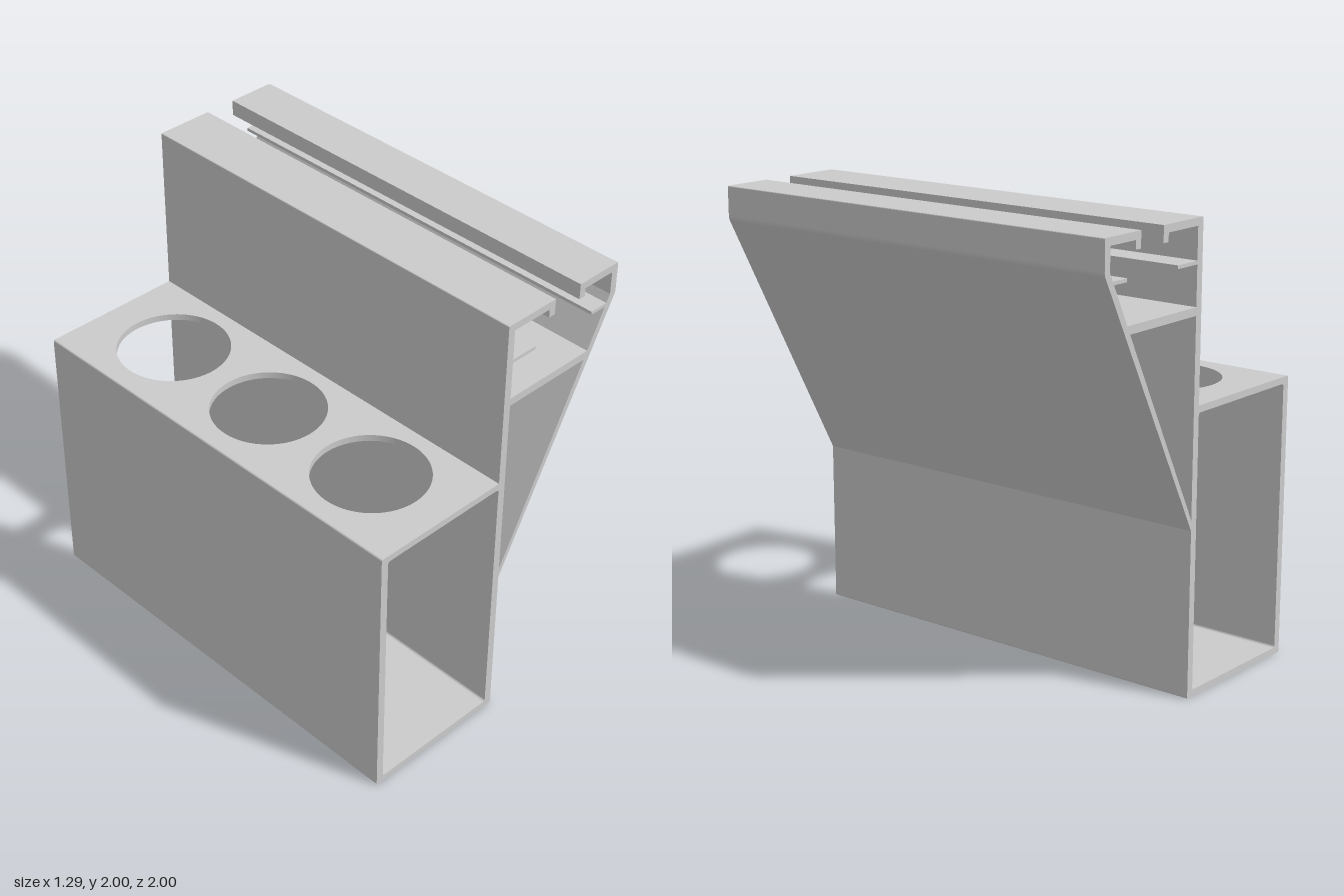
import * as THREE from 'three';

const LENGTH = 2;

// Closed outline from [x, y, cornerRadius] points
function outline(points, Type = THREE.Shape) {
  const path = new Type();
  const n = points.length;
  const toward = (a, b, r) => {
    const d = Math.hypot(b[0] - a[0], b[1] - a[1]);
    return [a[0] + (b[0] - a[0]) * r / d, a[1] + (b[1] - a[1]) * r / d];
  };
  points.forEach((p, i) => {
    const r = p[2] || 0;
    const a = r ? toward(p, points[(i + n - 1) % n], r) : p;
    if (i === 0) path.moveTo(a[0], a[1]);
    else path.lineTo(a[0], a[1]);
    if (r) {
      const b = toward(p, points[(i + 1) % n], r);
      path.quadraticCurveTo(p[0], p[1], b[0], b[1]);
    }
  });
  path.closePath();
  return path;
}

function extrude(shape, depth, curveSegments) {
  return new THREE.ExtrudeGeometry(shape, { depth, curveSegments, bevelEnabled: false });
}

export function createModel() {
  const group = new THREE.Group();
  group.name = 'extrudedBracket';
  const material = new THREE.MeshStandardMaterial({ color: 0xcccccc });

  // Box walls, upright web, slanted strut and slotted channel as one section
  const section = outline([
    [-0.6, 1.24], [-0.65, 1.24, 0.01], [-0.65, 0, 0.01], [0.045, 0, 0.006],
    [0.045, 0.725], [0.645, 1.86, 0.01], [0.645, 2, 0.006],
    // right lip and fin
    [0.42, 2], [0.42, 1.93], [0.452, 1.93], [0.452, 1.967], [0.612, 1.967],
    [0.612, 1.865], [0.594, 1.83], [0.505, 1.83], [0.505, 1.815], [0.586, 1.815],
    // shelf, left fin and left lip
    [0.499, 1.645], [0.045, 1.645], [0.045, 1.815], [0.175, 1.815], [0.175, 1.83],
    [0.045, 1.83], [0.045, 1.967], [0.242, 1.967], [0.242, 1.93], [0.275, 1.93],
    [0.275, 2], [0.01, 2, 0.006], [0.01, 1.24],
    // inside of the box
    [-0.005, 1.24], [-0.005, 1.21], [0.01, 1.21, 0.014], [0.01, 0.03, 0.014],
    [-0.615, 0.03, 0.014], [-0.615, 1.21, 0.014], [-0.6, 1.21],
  ]);
  section.holes.push(outline([[0.045, 0.77], [0.045, 1.61], [0.481, 1.61]], THREE.Path));
  const profile = new THREE.Mesh(extrude(section, LENGTH, 4).translate(0, 0, -LENGTH / 2), material);
  profile.name = 'profile';
  group.add(profile);

  // Top plate of the box with three round openings
  const plate = outline([[-0.6, -1], [-0.005, -1], [-0.005, 1], [-0.6, 1]]);
  for (const z of [-0.6, 0, 0.6]) {
    plate.holes.push(new THREE.Path().absarc(-0.308, z, 0.247, 0, Math.PI * 2, true));
  }
  const top = new THREE.Mesh(extrude(plate, 0.03, 48).rotateX(-Math.PI / 2).translate(0, 1.21, 0), material);
  top.name = 'perforatedTopPlate';
  group.add(top);

  return group;
}
